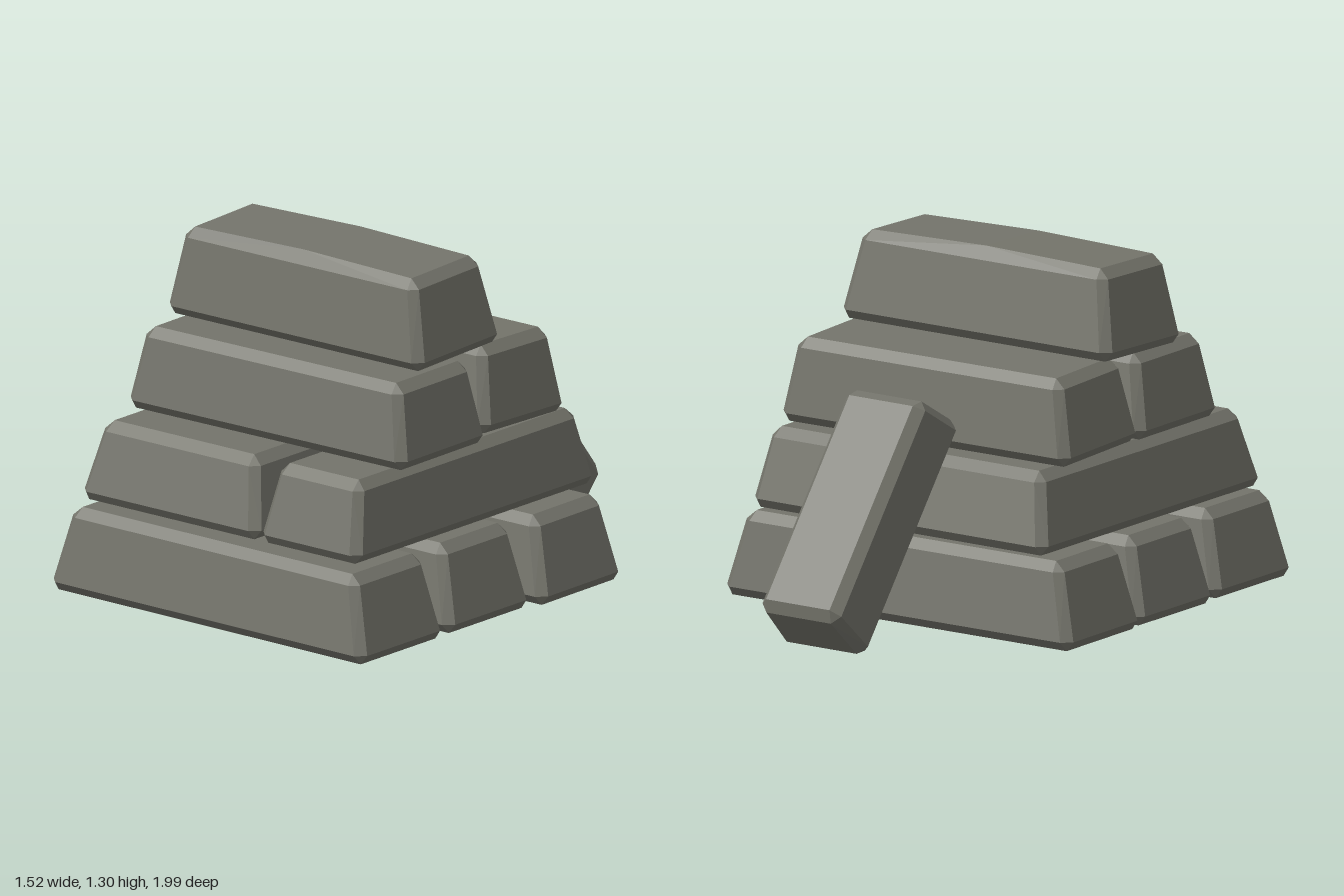
import * as THREE from 'three';
import { ConvexGeometry } from 'three/addons/geometries/ConvexGeometry.js';

// Tapered ingot with chamfered edges. x, y, z are [min, max] of the base box;
// tx, tz are the taper at each side of the top; crown lifts the middle of the top.
function ingotGeometry({ x, y, z, tx, tz, bevel = 0.035, crown = 0 }) {
  const size = [(x[1] - x[0]) / 2, (y[1] - y[0]) / 2, (z[1] - z[0]) / 2];
  const place = (u, v, w) => {
    const t = (v + 1) / 2;
    return new THREE.Vector3(u * (size[0] - tx * t), v * size[1], w * (size[2] - tz * t));
  };
  const points = [];
  for (let axis = 0; axis < 3; axis++) {
    for (let corner = 0; corner < 8; corner++) {
      // each face keeps its own plane and is inset along the other two axes
      const p = [0, 1, 2].map((i) => {
        const sign = corner & (1 << i) ? 1 : -1;
        return i === axis ? sign : sign * (1 - bevel / size[i]);
      });
      points.push(place(...p));
    }
  }
  if (crown) {
    for (const w of [-1, 1]) {
      const p = place(0, 1, w * (1 - bevel / size[2]));
      p.y += crown;
      points.push(p);
    }
  }
  return new ConvexGeometry(points);
}

export function createModel() {
  const model = new THREE.Group();
  model.name = 'ingotStack';
  const metal = new THREE.MeshStandardMaterial({ color: 0x74746b });
  metal.name = 'dullGreyMetal';

  function addIngot(name, spec, parent = model) {
    const mesh = new THREE.Mesh(ingotGeometry(spec), metal);
    mesh.name = name;
    const mid = (r) => (r[0] + r[1]) / 2;
    mesh.position.set(mid(spec.x), mid(spec.y), mid(spec.z));
    mesh.rotation.set(spec.pitch || 0, spec.yaw || 0, spec.roll || 0);
    parent.add(mesh);
  }

  // bottom layer: three ingots side by side
  const bottom = { y: [0.03, 0.343], tx: 0.08, tz: 0.05 };
  addIngot('bottomFrontIngot', { ...bottom, x: [-0.745, 0.735], z: [0.515, 1.0], roll: -0.004 });
  addIngot('bottomMiddleIngot', { ...bottom, x: [-0.755, 0.735], z: [0.035, 0.51] });
  addIngot('bottomBackIngot', { ...bottom, x: [-0.77, 0.765], z: [-0.435, 0.04], yaw: 0.012 });

  // second layer: one wide and one narrow ingot, laid crosswise
  const second = { y: [0.368, 0.658], z: [-0.435, 0.925] };
  addIngot('secondWideIngot', { ...second, x: [-0.665, 0.175], tx: 0.065, tz: 0.075 });
  addIngot('secondNarrowIngot', { ...second, x: [0.17, 0.645], tx: 0.05, tz: 0.075 });

  // third layer
  const third = { y: [0.665, 0.97], tx: 0.06, tz: 0.05 };
  addIngot('thirdFrontIngot', { ...third, x: [-0.635, 0.655], z: [0.19, 0.695], yaw: 0.015 });
  addIngot('thirdBackIngot', { ...third, x: [-0.655, 0.615], y: [0.67, 0.98], z: [-0.3, 0.18], yaw: 0.015, pitch: -0.03 });

  // top ingot
  addIngot('topIngot', {
    x: [-0.62, 0.575], y: [0.98, 1.305], z: [0.015, 0.502], tx: 0.065, tz: 0.055, crown: 0.012, yaw: 0.008, pitch: 0.03,
  });

  // ingot leaning against the back
  const lean = new THREE.Group();
  lean.name = 'leaningIngotPivot';
  lean.rotation.x = -0.91;
  addIngot('leaningIngot', { x: [-0.178, 0.205], y: [0.65, 0.915], z: [-0.505, 0.445], tx: 0.02, tz: 0.03 }, lean);
  model.add(lean);

  return model;
}
